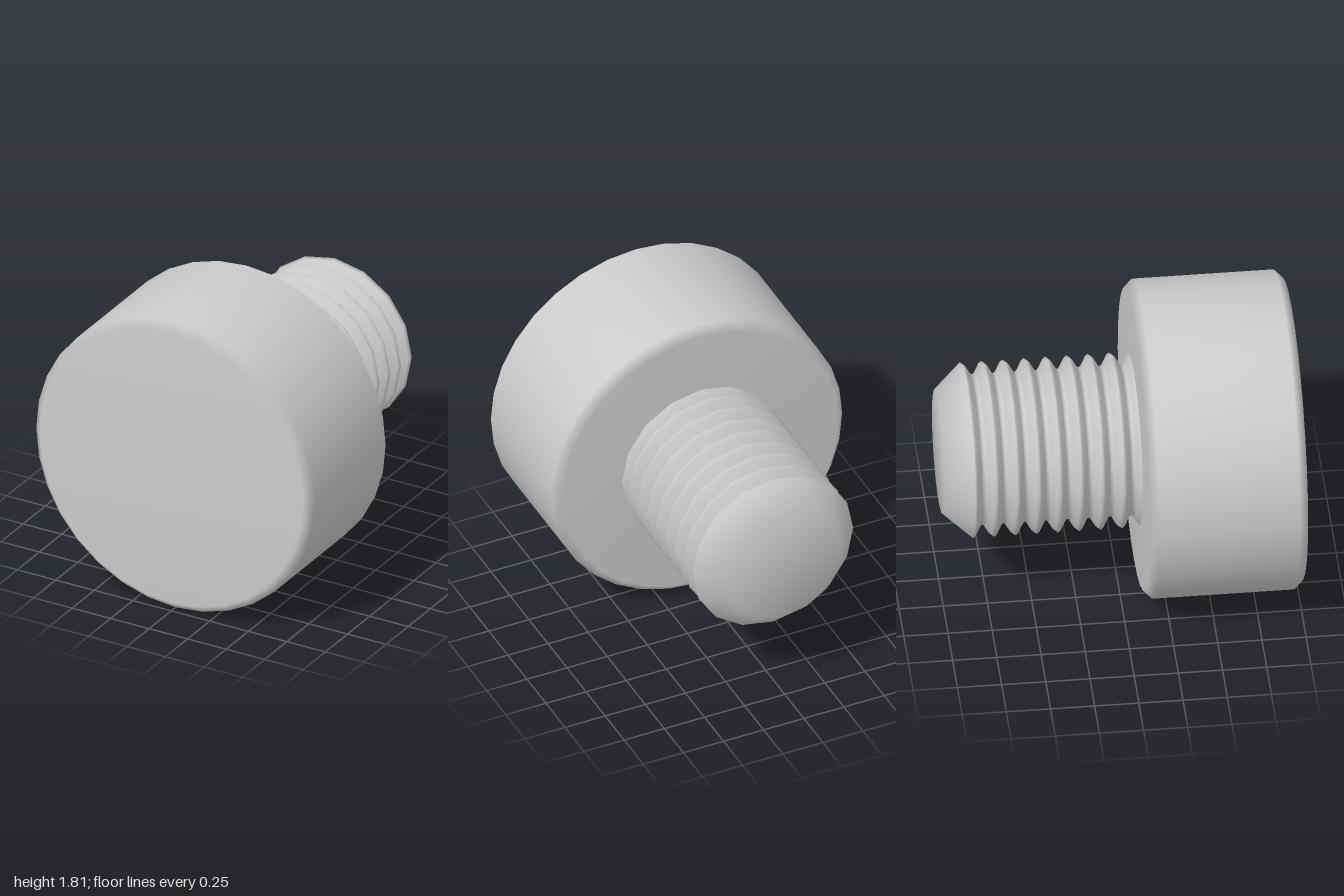
import * as THREE from 'three';

const AXIS_HEIGHT = 0.905;

// Turned part: profile of [radius, z] pairs from back to front, spun about the z axis
function turned(name, profile, sides) {
  const points = profile.map(([r, z]) => new THREE.Vector2(r, z));
  const geometry = new THREE.LatheGeometry(points, sides);
  geometry.rotateX(Math.PI / 2);
  const mesh = new THREE.Mesh(geometry, new THREE.MeshStandardMaterial({ color: 0xcccccc }));
  mesh.name = name;
  mesh.position.y = AXIS_HEIGHT;
  return mesh;
}

export function createModel() {
  const bolt = new THREE.Group();
  bolt.name = 'bolt';

  // Cylindrical head with chamfered rims
  const R = 0.905, chamfer = 0.05;
  bolt.add(turned('head', [
    [0, 0.105], [R - chamfer, 0.105], [R, 0.105 + chamfer],
    [R, 1 - chamfer], [R - chamfer, 1], [0, 1],
  ], 32));

  // Threaded shaft: tapered tip, then eight ring ridges with rounded roots
  const pitch = 0.1205, ridges = 8, crest = 0.5;
  const profile = [[0, -1], [0.355, -1]];
  const groove = [[0, crest], [0.13, 0.488], [0.36, 0.44], [0.44, 0.428], [0.56, 0.428], [0.64, 0.44], [0.87, 0.488]];
  for (let i = 0; i < ridges; i++) {
    const z = -0.843 + i * pitch;
    for (const [t, r] of groove) profile.push([r, z + t * pitch]);
  }
  profile.push([0.49, 0.125]);
  bolt.add(turned('threadedShaft', profile, 16));

  return bolt;
}
